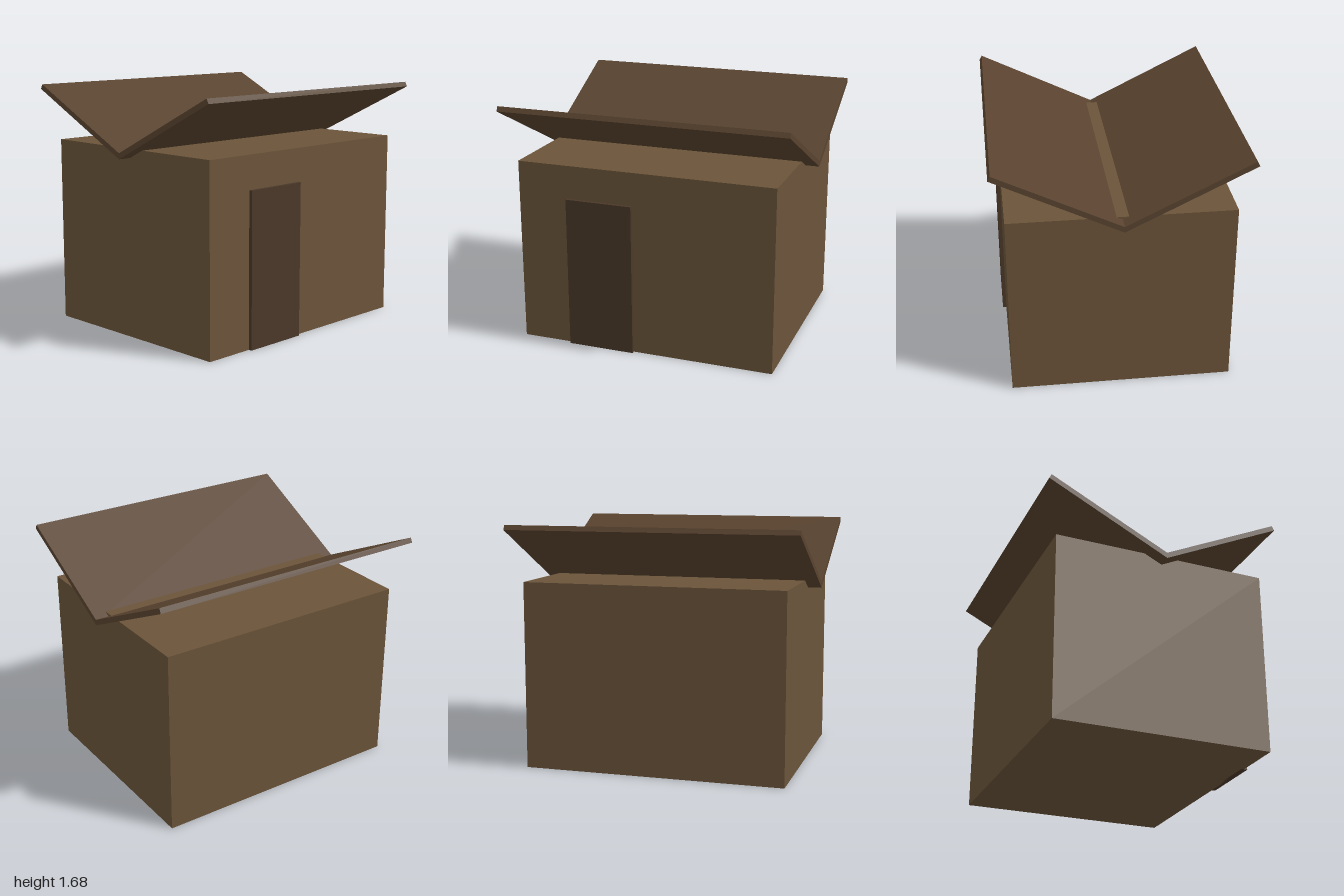
import * as THREE from 'three';

const WALL = 0x6b543a, ROOF = 0x59432f, DOOR = 0x4a3828;

function box(name, color, size, position) {
  const mesh = new THREE.Mesh(
    new THREE.BoxGeometry(...size),
    new THREE.MeshStandardMaterial({ color })
  );
  mesh.name = name;
  mesh.position.set(...position);
  return mesh;
}

export function createModel() {
  const hut = new THREE.Group();
  hut.name = 'hut';

  // Closed box body
  hut.add(box('walls', WALL, [1.81, 1.29, 1.5], [0, 0.645, 0]));

  // Door slab standing slightly proud of the front wall
  hut.add(box('door', DOOR, [0.47, 1.06, 0.045], [-0.315, 0.53, 0.7525]));

  // Inverted (butterfly) roof: two slabs rising outward from a central valley
  const length = 0.937, thickness = 0.036, slope = Math.atan2(0.415, 0.84);
  for (const side of [1, -1]) {
    const panel = new THREE.Group();
    panel.name = side > 0 ? 'frontRoofPanel' : 'backRoofPanel';
    panel.position.y = 1.23;
    panel.rotation.x = -side * slope;
    panel.add(box('roofSlab', ROOF, [2, thickness, length], [0, thickness / 2, side * length / 2]));
    hut.add(panel);
  }
  return hut;
}
